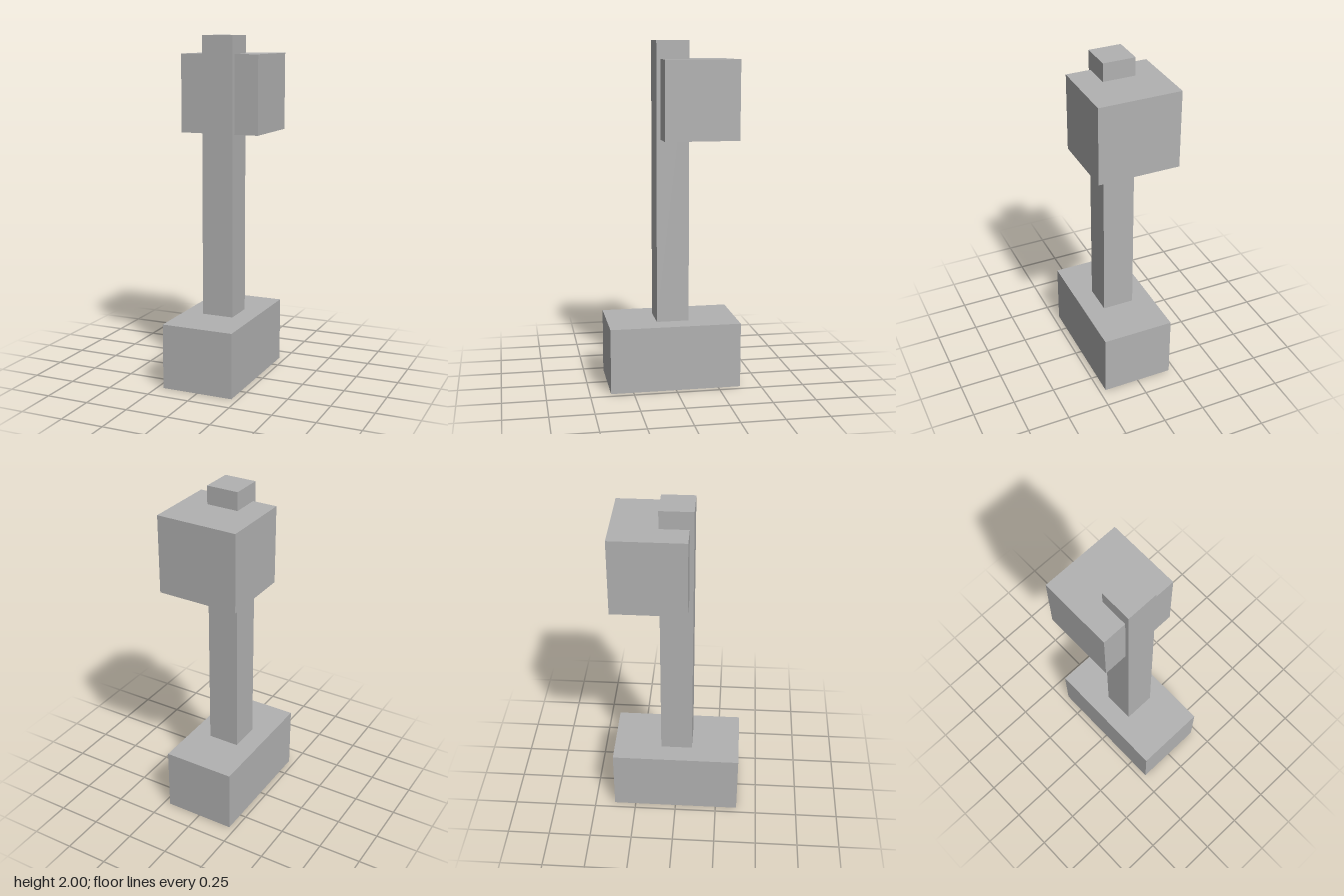
import * as THREE from 'three';

export function createModel() {
  const model = new THREE.Group();
  const grey = new THREE.MeshStandardMaterial({ color: 0xb2b2b2 });
  grey.name = 'grey';

  // Box given by its lower and upper corners
  const addBox = (name, [x0, y0, z0], [x1, y1, z1]) => {
    const mesh = new THREE.Mesh(new THREE.BoxGeometry(x1 - x0, y1 - y0, z1 - z0), grey);
    mesh.position.set((x0 + x1) / 2, (y0 + y1) / 2, (z0 + z1) / 2);
    mesh.name = name;
    model.add(mesh);
  };

  // Heavy foot, square post, and the block mounted towards the back of its top
  addBox('base', [-0.213, 0, -0.38], [0.213, 0.38, 0.38]);
  addBox('post', [-0.094, 0.38, -0.094], [0.094, 2, 0.094]);
  addBox('headBlock', [-0.237, 1.445, -0.357], [0.237, 1.895, 0.07]);

  return model;
}
